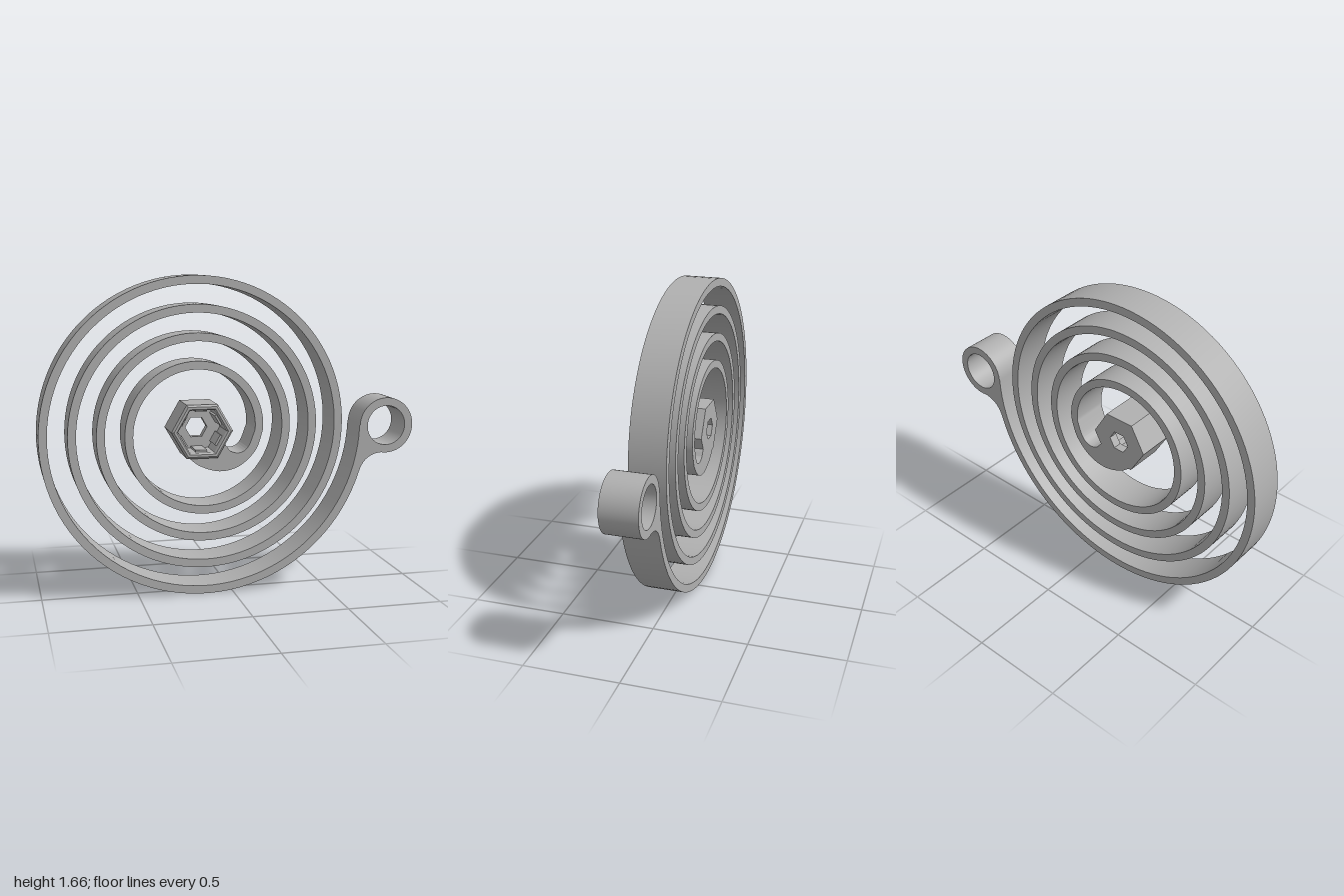
import * as THREE from 'three';
import { toCreasedNormals } from 'three/addons/utils/BufferGeometryUtils.js';

const CX = -0.166, CY = 0.873; // spiral and hub centre
const BACK = -0.107, FRONT = 0.085, HUB_FRONT = 0.108;
const HALF = 0.0215; // half the strip thickness

// Point on the spiral: t counts turns, off shifts it radially
function spiral(t, off) {
  const r = 0.305 + 0.1445 * t + off, a = t * Math.PI * 2;
  return new THREE.Vector2(CX + r * Math.cos(a), CY + r * Math.sin(a));
}

const vecs = (list) => list.map(([x, y]) => new THREE.Vector2(x, y));

function springGeometry() {
  const s = new THREE.Shape();
  const N = 400, outerEnd = 3.955;
  // Root of the strip, leaving the lower wall of the hub
  s.moveTo(-0.24, 0.74);
  s.splineThru([...vecs([[-0.175, 0.69], [-0.07, 0.659], [0.035, 0.683], [0.122, 0.765]]), spiral(0, HALF)]);
  // Outer edge
  for (let i = 1; i <= N; i++) {
    const p = spiral(outerEnd * i / N, HALF);
    s.lineTo(p.x, p.y);
  }
  // Fillet, then round the end eye
  s.quadraticCurveTo(0.725, 0.715, 0.82, 0.7215);
  s.absarc(0.847, 0.868, 0.149, -1.75, Math.PI, false);
  // Inner edge, back to the middle
  for (let i = N; i >= 0; i--) {
    const p = spiral(4 * i / N, -HALF);
    s.lineTo(p.x, p.y);
  }
  // Rounded pocket beside the hub, closing inside the hub wall
  s.splineThru(vecs([[0.088, 0.795], [0.06, 0.762], [0.024, 0.752], [-0.015, 0.764], [-0.035, 0.79], [-0.052, 0.808]]));
  s.lineTo(-0.09, 0.742);

  const hole = new THREE.Path();
  hole.absarc(0.847, 0.868, 0.106, 0, Math.PI * 2, true);
  s.holes.push(hole);

  const g = new THREE.ExtrudeGeometry(s, { depth: FRONT - BACK, bevelEnabled: false, curveSegments: 24 });
  g.translate(0, 0, BACK);
  return toCreasedNormals(g, 0.6);
}

// Six-sided hub: chamfered rim, deep socket and a small through hole
function hubGeometry() {
  const floor = -0.06;
  const profile = vecs([
    [0.059, BACK], [0.162, BACK], [0.162, HUB_FRONT - 0.012], [0.15, HUB_FRONT],
    [0.136, HUB_FRONT], [0.128, HUB_FRONT - 0.012], [0.128, floor], [0.059, floor], [0.059, BACK],
  ]);
  const g = new THREE.LatheGeometry(profile, 6, Math.PI / 2);
  g.rotateX(Math.PI / 2);
  return toCreasedNormals(g, 0.1);
}

export function createModel() {
  const model = new THREE.Group();
  model.name = 'spiralSpring';
  const steel = new THREE.MeshStandardMaterial({ color: 0xb0b0b0 });
  steel.name = 'grey steel';

  const spring = new THREE.Mesh(springGeometry(), steel);
  spring.name = 'spiralStripWithEye';
  model.add(spring);

  const hub = new THREE.Group();
  hub.name = 'hub';
  hub.position.set(CX, CY, 0);
  const body = new THREE.Mesh(hubGeometry(), steel);
  body.name = 'hexHub';
  hub.add(body);

  // Low ribs on the six socket walls
  const ribGeo = new THREE.BoxGeometry(0.016, 0.06, 0.13);
  for (let i = 0; i < 6; i++) {
    const a = Math.PI / 6 + i * Math.PI / 3;
    const rib = new THREE.Mesh(ribGeo, steel);
    rib.name = 'socketRib';
    rib.position.set(0.108 * Math.cos(a), 0.108 * Math.sin(a), 0.004);
    rib.rotation.z = a;
    hub.add(rib);
  }
  model.add(hub);
  return model;
}
